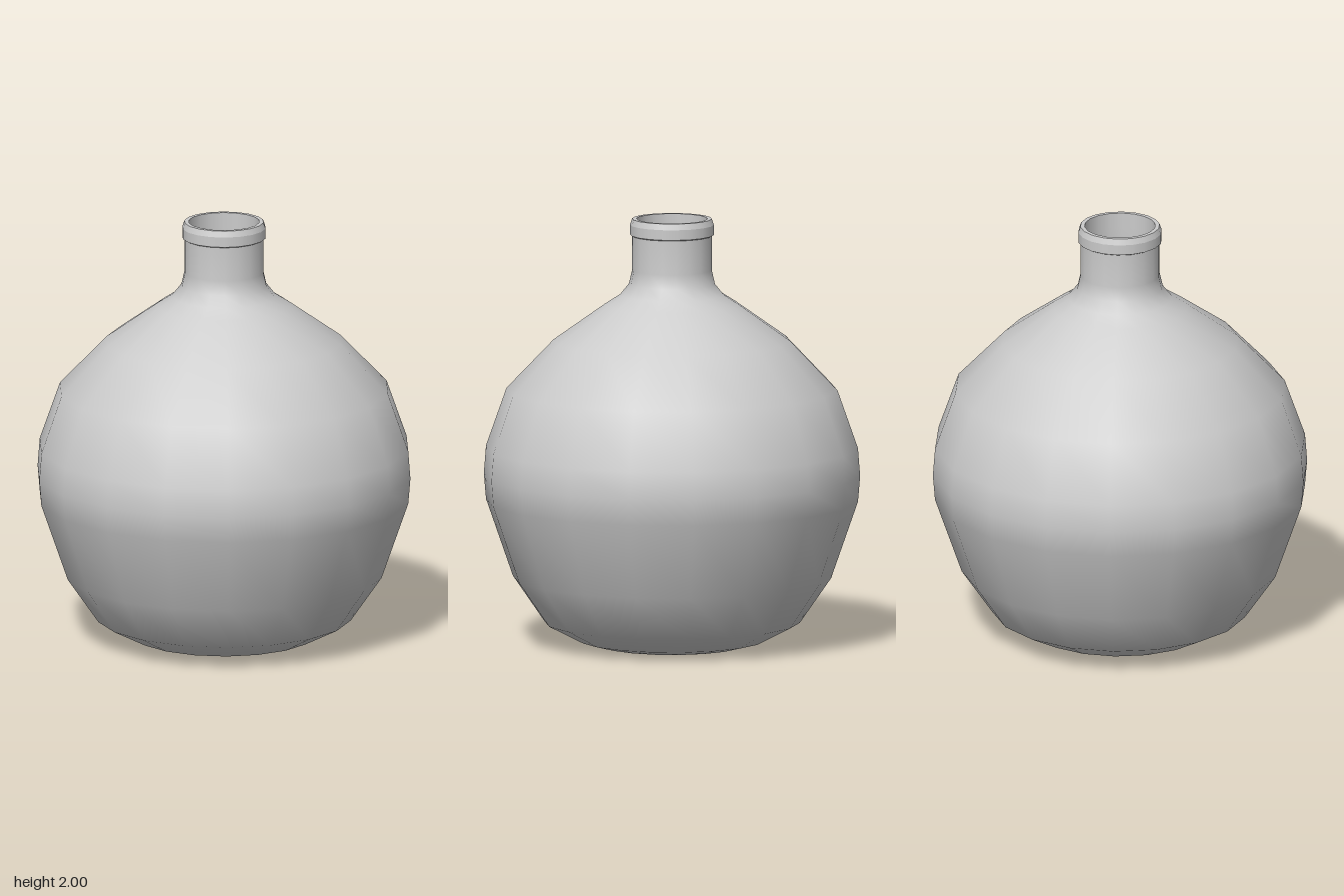
import * as THREE from 'three';

const SIDES = 18;
const grey = new THREE.MeshStandardMaterial({ color: 0xcccccc, side: THREE.DoubleSide });

// Revolve a profile of [radius, height] pairs, with a corner on the x axis
function turned(name, profile) {
  const points = profile.map(([r, y]) => new THREE.Vector2(r, y));
  const mesh = new THREE.Mesh(new THREE.LatheGeometry(points, SIDES, Math.PI / 2), grey);
  mesh.name = name;
  return mesh;
}

export function createModel() {
  const group = new THREE.Group();
  group.name = 'bottle';

  // Round belly, shoulder and neck in one smooth skin
  const skin = [
    [0.33, 0], [0.43, 0.025], [0.595, 0.11], [0.74, 0.32], [0.865, 0.68],
    [0.875, 0.8], [0.865, 0.93], [0.77, 1.2], [0.55, 1.43], [0.31, 1.6],
    [0.24, 1.645], [0.2, 1.695], [0.185, 1.76], [0.185, 1.93],
  ];
  group.add(turned('body', [[0, 0], ...skin]));

  // Inner wall, from the mouth down to the floor
  const inner = skin.map(([r, y]) => [r - 0.02, Math.max(y, 0.02)]).reverse();
  group.add(turned('innerWall', [[0.165, 2], ...inner, [0, 0.02]]));

  // Collar around the mouth, each face separate so its edges stay sharp
  const collar = new THREE.Group();
  collar.name = 'collar';
  const rim = [[0.185, 1.92], [0.195, 1.925], [0.195, 1.972], [0.185, 2], [0.165, 2]];
  for (let i = 0; i < rim.length - 1; i++) {
    collar.add(turned('collarFace' + (i + 1), [rim[i], rim[i + 1]]));
  }
  group.add(collar);

  return group;
}
